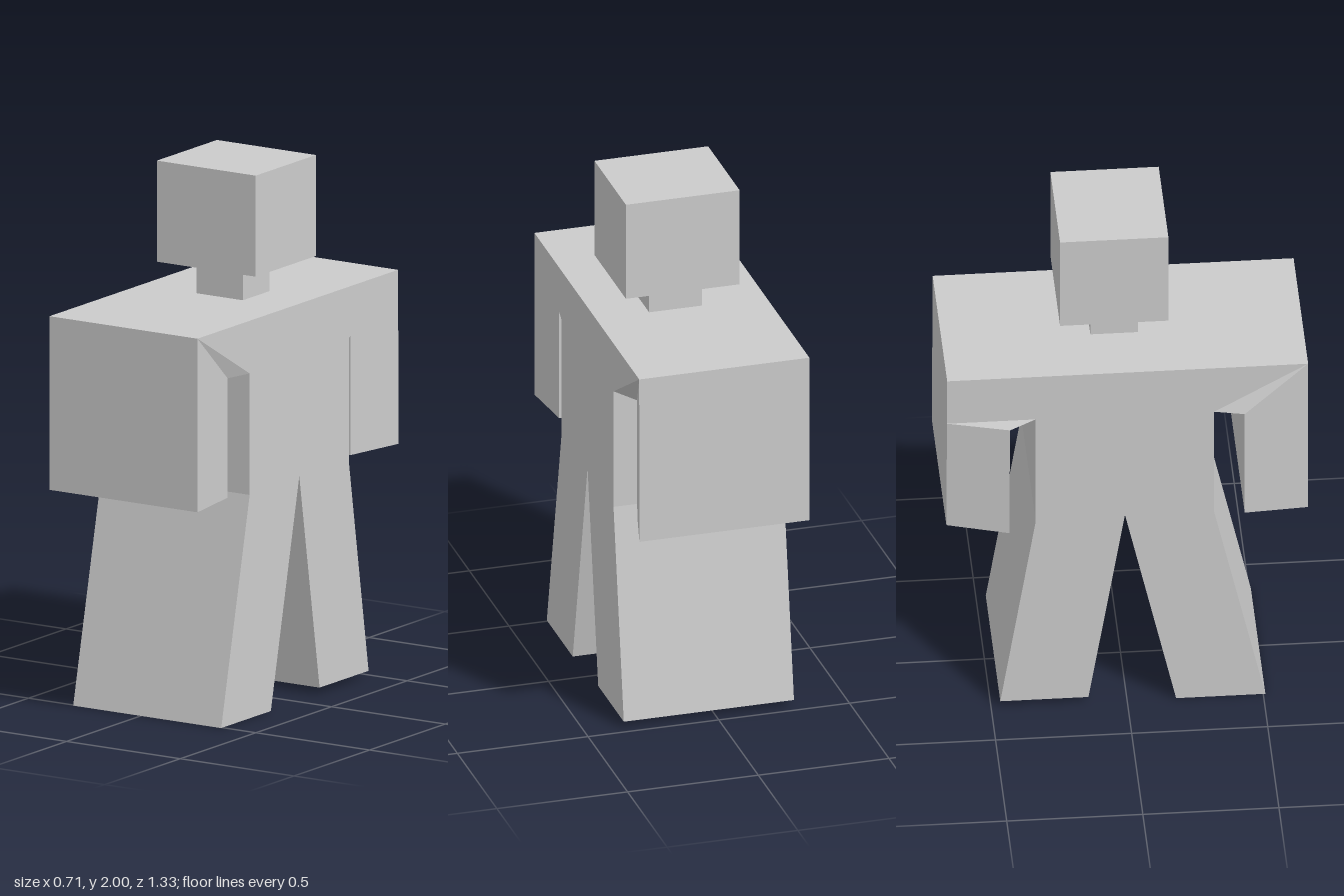
import * as THREE from 'three';

const material = new THREE.MeshStandardMaterial({ color: 0xcccccc, flatShading: true });

// Box given by its minimum and maximum corners
function box(name, [x0, y0, z0], [x1, y1, z1]) {
  const mesh = new THREE.Mesh(new THREE.BoxGeometry(x1 - x0, y1 - y0, z1 - z0), material);
  mesh.position.set((x0 + x1) / 2, (y0 + y1) / 2, (z0 + z1) / 2);
  mesh.name = name;
  return mesh;
}

// Side outline of torso, arms and legs: [z, y, sideways shift of the inner arm edge]
const outline = [
  [0.665, 1.495, 0], [0.665, 0.842, 0], [0.43, 0.848, -0.024], [0.43, 1.297, -0.024], // front arm
  [0.32, 1.297, 0], [0.32, 0.84, 0],                                                  // front of waist
  [0.508, 0, 0], [0.18, 0, 0], [-0.008, 0.847, 0], [-0.142, 0.025, 0], [-0.466, 0.025, 0], // legs
  [-0.336, 0.835, 0], [-0.336, 1.302, 0],                                             // back of waist
  [-0.435, 1.302, -0.06], [-0.438, 0.834, -0.06], [-0.664, 0.84, 0], [-0.661, 1.495, 0], // rear arm
];
const ledge = [-0.662, 1.302, 0]; // corner of the small step, on one side only

// Polygons filling the outline (fans of indices into it)
const shared = [
  [0, 1, 2, 3], [0, 3, 4], [0, 4, 12, 16], [4, 5, 8], [4, 8, 12], [8, 11, 12],
  [5, 6, 7, 8], [8, 9, 10, 11],
];
const plainShoulder = [[16, 12, 13], [16, 13, 14, 15]];
const steppedShoulder = [[16, 12, 17], [17, 12, 13], [17, 13, 14, 15]];

function createBody() {
  const points = [...outline, ledge];
  const at = (i, x) => [x + points[i][2], points[i][1], points[i][0]];
  const xMax = 0.353, xMin = -0.298;
  const positions = [];
  const fan = (corners) => {
    for (let i = 1; i < corners.length - 1; i++) {
      positions.push(...corners[0], ...corners[i], ...corners[i + 1]);
    }
  };
  // The two broad faces
  for (const face of [...shared, ...plainShoulder]) fan(face.map((i) => at(i, xMax)));
  for (const face of [...shared, ...steppedShoulder]) fan(face.map((i) => at(i, xMin)).reverse());
  // Walls joining them along the outline
  outline.forEach((_, i) => {
    const j = (i + 1) % outline.length;
    fan([at(i, xMax), at(i, xMin), at(j, xMin), at(j, xMax)]);
  });
  const geometry = new THREE.BufferGeometry();
  geometry.setAttribute('position', new THREE.Float32BufferAttribute(positions, 3));
  geometry.computeVertexNormals();
  const mesh = new THREE.Mesh(geometry, material);
  mesh.name = 'bodyWithArmsAndLegs';
  return mesh;
}

export function createModel() {
  const group = new THREE.Group();
  group.name = 'blockFigure';
  group.add(
    createBody(),
    box('neck', [-0.053, 1.495, -0.115], [0.15, 1.62, 0.06]),
    box('head', [-0.16, 1.62, -0.235], [0.275, 2, 0.163]),
  );
  return group;
}
